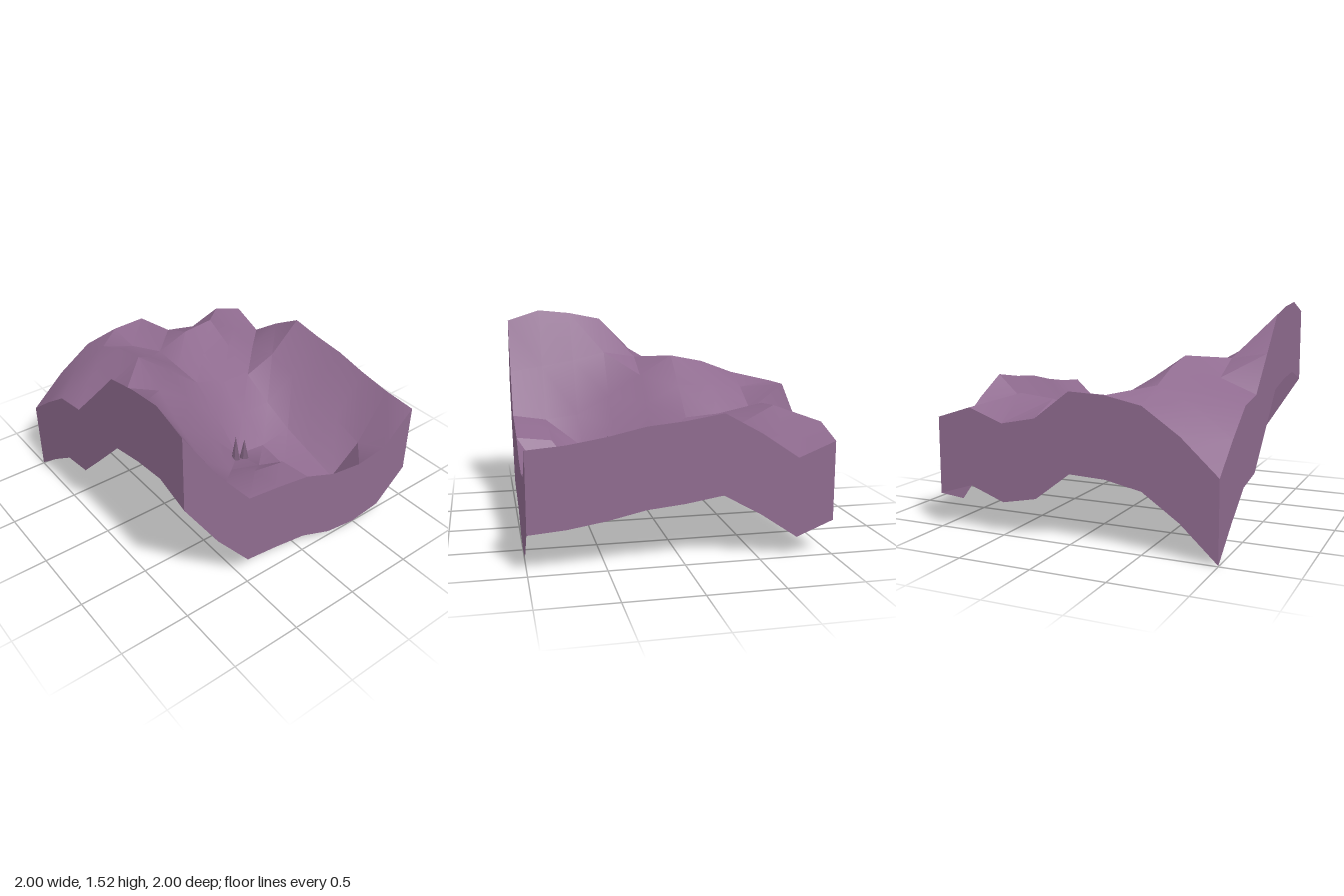
import * as THREE from 'three';
import { toCreasedNormals } from 'three/addons/utils/BufferGeometryUtils.js';

const N = 8, STEP = 0.25, SKIRT = 0.532;

// Ground heights: one row per z from back (-1) to front (+1), x from -1 to +1
const H = [
  [0.54, 0.77, 0.94, 0.99, 1.00, 0.81, 0.76, 0.85, 0.77],
  [0.73, 0.92, 1.035, 0.95, 0.81, 0.905, 0.93, 0.76, 0.67],
  [0.90, 1.00, 1.13, 0.97, 0.79, 0.81, 0.80, 0.70, 0.84],
  [0.94, 1.04, 1.18, 0.98, 0.77, 0.70, 0.65, 0.75, 0.98],
  [1.19, 1.15, 1.03, 0.85, 0.60, 0.52, 0.52, 0.69, 0.94],
  [1.445, 1.19, 0.86, 0.67, 0.39, 0.365, 0.41, 0.62, 0.915],
  [1.495, 1.13, 0.73, 0.53, 0.45, 0.325, 0.335, 0.54, 0.86],
  [1.52, 1.09, 0.70, 0.68, 0.64, 0.31, 0.26, 0.46, 0.82],
  [1.44, 1.05, 0.74, 0.71, 0.67, 0.57, 0.535, 0.57, 0.80],
];

export function createModel() {
  const group = new THREE.Group();
  const earth = new THREE.MeshStandardMaterial({ color: 0x8f6b8f, side: THREE.DoubleSide });
  earth.name = 'mauve earth';
  const thorn = new THREE.MeshStandardMaterial({ color: 0x7a5e7a, flatShading: true });
  thorn.name = 'dark mauve';

  const add = (name, geometry, material) => {
    const mesh = new THREE.Mesh(geometry, material);
    mesh.name = name;
    group.add(mesh);
    return mesh;
  };

  // Rolling ground surface
  const ground = new THREE.PlaneGeometry(2, 2, N, N).rotateX(-Math.PI / 2);
  const pos = ground.attributes.position;
  for (let k = 0; k < pos.count; k++) pos.setY(k, H[Math.floor(k / (N + 1))][k % (N + 1)]);
  add('ground', toCreasedNormals(ground, 0.5), earth);

  // Side walls hanging from the rim, walked anticlockwise from the front left
  const rim = [];
  const point = (i, j) => rim.push(new THREE.Vector3(-1 + i * STEP, H[j][i], -1 + j * STEP));
  for (let k = 0; k < N; k++) point(k, N);
  for (let k = N; k > 0; k--) point(N, k);
  for (let k = N; k > 0; k--) point(k, 0);
  for (let k = 0; k < N; k++) point(0, k);

  const verts = [];
  rim.forEach((a, k) => {
    const b = rim[(k + 1) % rim.length];
    const a0 = a.clone(), b0 = b.clone();
    a0.y -= SKIRT;
    b0.y -= SKIRT;
    for (const p of [a0, b0, b, a0, b, a]) verts.push(p.x, p.y, p.z);
  });
  const walls = new THREE.BufferGeometry();
  walls.setAttribute('position', new THREE.Float32BufferAttribute(verts, 3));
  walls.computeVertexNormals();
  add('sideWalls', walls, earth);

  // Pair of small spikes in the hollow: x, base height, height
  for (const [x, y, h] of [[-0.08, 0.36, 0.28], [0, 0.36, 0.22]]) {
    add('spike', new THREE.ConeGeometry(0.043, h, 7), thorn).position.set(x, y + h / 2, 0.33);
  }
  return group;
}
